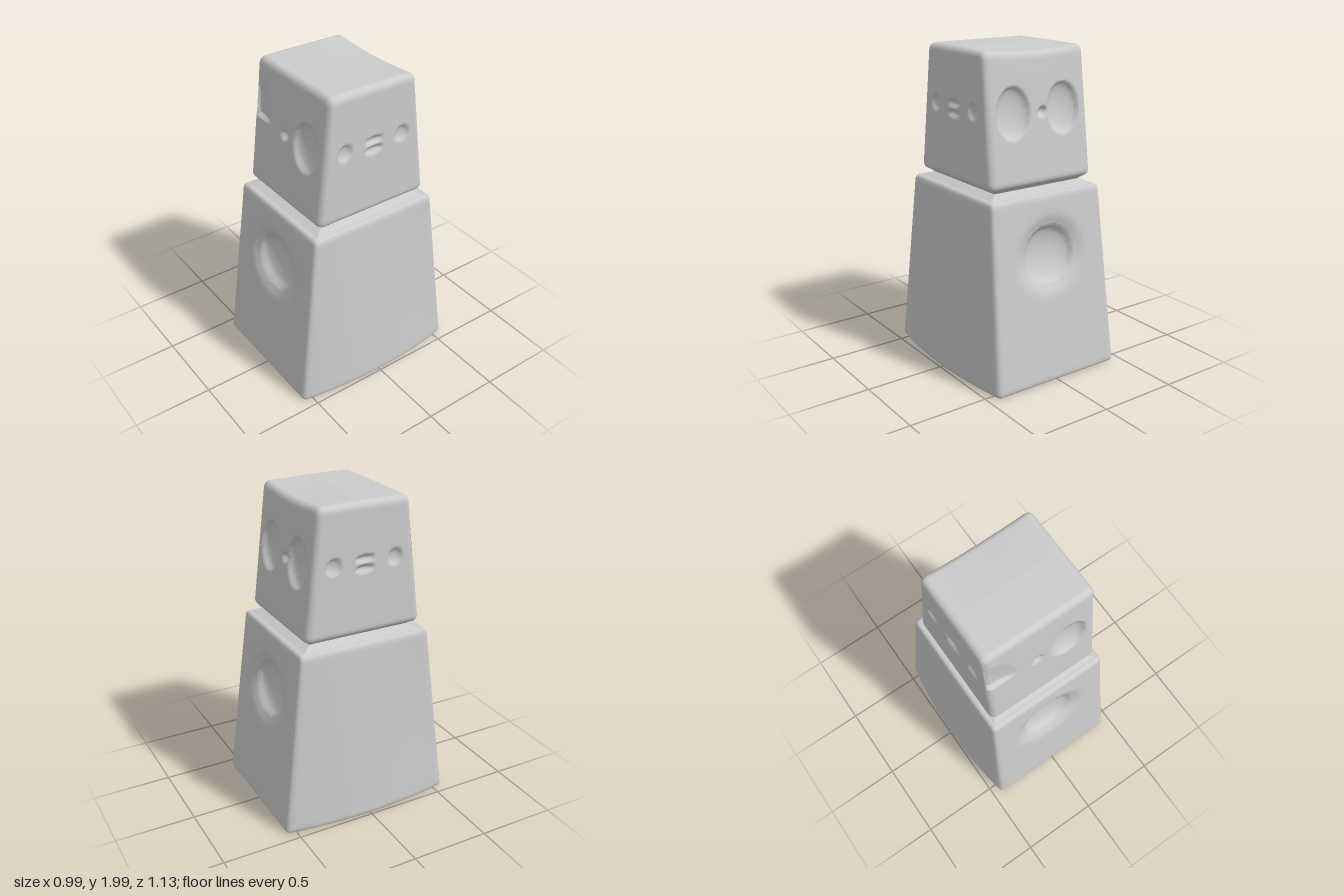
import * as THREE from 'three';
import { mergeVertices } from 'three/addons/utils/BufferGeometryUtils.js';

const material = new THREE.MeshStandardMaterial({ color: 0xcccccc, side: THREE.DoubleSide });
const lerp = THREE.MathUtils.lerp;

// Softly edged, tapered block. bottom / top are half sizes [x, z]; dents press into the faces.
// A dent: axis and side of its face, centre (u, y), radii, depth, optional soft rim or shelf.
function block({ y0, y1, bottom, top, radius, segments, bulge = 0, sag = 0, dents = [] }) {
  const h = y1 - y0;
  let geo = new THREE.BoxGeometry(2, 2, 2, segments, segments, segments);
  geo.deleteAttribute('uv');
  geo.deleteAttribute('normal');
  geo = mergeVertices(geo, 1e-4);
  const pos = geo.attributes.position;
  const p = new THREE.Vector3(), inner = new THREE.Vector3(), half = new THREE.Vector3(bottom[0], h / 2, bottom[1]);
  const limit = half.clone().subScalar(radius);
  for (let i = 0; i < pos.count; i++) {
    p.fromBufferAttribute(pos, i);
    const face = p.clone();
    // round the edges
    p.multiply(half);
    inner.copy(p).clamp(limit.clone().negate(), limit);
    p.sub(inner).setLength(radius).add(inner);
    // taper, side bulge and sagging back edge of the top
    const t = p.y / h + 0.5;
    const zn = p.z / bottom[1], xn = p.x / bottom[0];
    p.x = xn * (lerp(bottom[0], top[0], t) + bulge * (1 - t) * (1 - zn * zn));
    p.z = zn * lerp(bottom[1], top[1], t);
    p.y = y0 + t * h;
    p.y -= sag * Math.max(0, -zn) * (1 - xn * xn) * Math.max(0, t - 0.8) * 5;
    // press in the dents
    for (const d of dents) {
      if (face[d.axis] * d.side < 0.999) continue;
      const du = ((d.axis === 'z' ? p.x : p.z) - d.u) / d.ru;
      const dy = (p.y - d.y) / d.ry;
      const r = Math.hypot(du, dy);
      let push = 0;
      if (d.shelf) push = dy > 0 && r < 1 ? d.depth * (1 - r * r) : 0;
      else if (r < 1) push = d.depth * Math.sqrt(1 - r * r);
      if (d.rim) push += d.rim * Math.exp(-Math.pow(Math.max(0, r - 1) * 3.5, 2));
      p[d.axis] -= d.side * push;
    }
    pos.setXYZ(i, p.x, p.y, p.z);
  }
  geo.computeVertexNormals();
  return geo;
}

// Four-sided sloping collar between two rectangles of half sizes [x, z]
function collar(y0, y1, a, b) {
  const geo = new THREE.CylinderGeometry(Math.SQRT2, Math.SQRT2, y1 - y0, 4).toNonIndexed();
  geo.rotateY(Math.PI / 4);
  const pos = geo.attributes.position;
  for (let i = 0; i < pos.count; i++) {
    const s = pos.getY(i) > 0 ? b : a;
    pos.setXYZ(i, pos.getX(i) * s[0], pos.getY(i) + (y0 + y1) / 2, pos.getZ(i) * s[1]);
  }
  geo.computeVertexNormals();
  return geo;
}

export function createModel() {
  const group = new THREE.Group();
  const add = (name, geo) => {
    const mesh = new THREE.Mesh(geo, material);
    mesh.name = name;
    group.add(mesh);
  };

  // Body with a round hollow on the front and back
  add('body', block({
    y0: 0.01, y1: 1.16, bottom: [0.445, 0.57], top: [0.40, 0.43], radius: 0.03, segments: 64, bulge: 0.055,
    dents: [1, -1].map(side => ({ axis: 'z', side, u: 0, y: 0.79, ru: 0.18, ry: 0.17, depth: 0.06, rim: 0.025 })),
  }));

  // Pinched neck
  add('shoulderSlope', collar(1.15, 1.185, [0.39, 0.42], [0.31, 0.33]));
  add('neckSlope', collar(1.185, 1.225, [0.31, 0.33], [0.36, 0.372]));

  // Head with eyes and nose on the front and back, small marks on the sides
  const dents = [];
  for (const side of [1, -1]) {
    const eye = { axis: 'z', side, y: 1.64, ru: 0.115, ry: 0.15, depth: 0.045 };
    dents.push({ ...eye, u: 0.18 });
    dents.push(side > 0
      ? { ...eye, u: -0.33, ru: 0.16, ry: 0.25, depth: 0.025, shelf: true }
      : { ...eye, u: -0.18 });
    dents.push({ axis: 'z', side, u: -0.03, y: 1.63, ru: 0.035, ry: 0.03, depth: 0.025 });
    for (const u of [0.2, -0.2]) dents.push({ axis: 'x', side, u, y: 1.65, ru: 0.05, ry: 0.05, depth: 0.02 });
    for (const y of [1.67, 1.61]) dents.push({ axis: 'x', side, u: 0, y, ru: 0.065, ry: 0.022, depth: 0.02 });
  }
  add('head', block({
    y0: 1.205, y1: 2, bottom: [0.375, 0.388], top: [0.36, 0.295], radius: 0.045, segments: 72, sag: 0.025, dents,
  }));
  return group;
}
